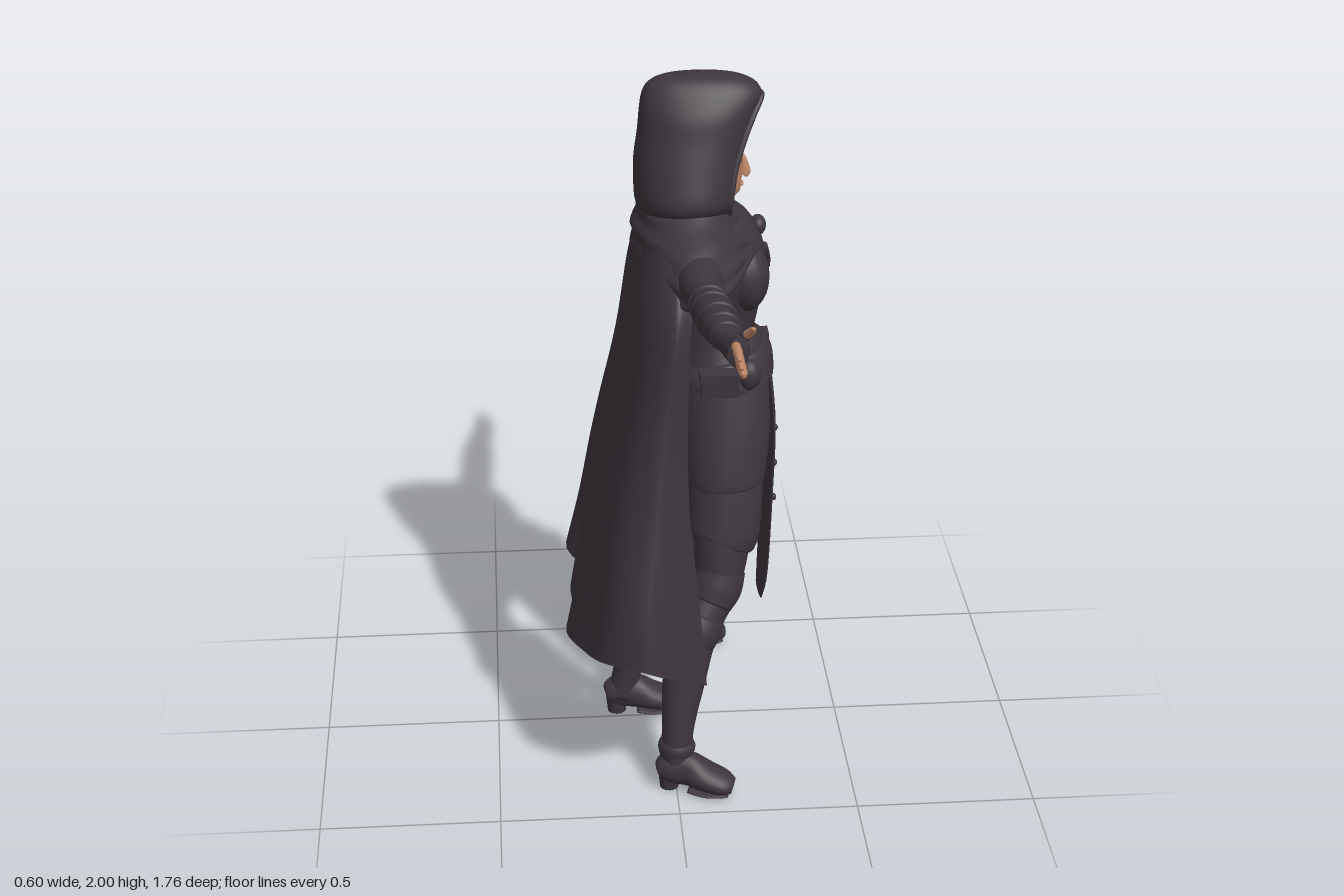
import * as THREE from 'three';

const mat = (name, color) => Object.assign(new THREE.MeshStandardMaterial({ color, side: THREE.DoubleSide }), { name });
const cloth = mat('dark cloth', 0x3d363d);
const skin = mat('skin', 0xbf8868);
const hairMat = mat('hair', 0x332a2c);
const browMat = mat('eye brown', 0x855a45);

// Smoothly resample a short list of number rows
function spline(rows, steps) {
  const out = [], at = i => rows[Math.max(0, Math.min(rows.length - 1, i))];
  for (let i = 0; i < rows.length - 1; i++) for (let k = 0; k < steps; k++) {
    const t = k / steps;
    out.push(rows[i].map((b, n) => {
      const a = at(i - 1)[n], c = at(i + 1)[n], d = at(i + 2)[n];
      return b + 0.5 * t * (c - a + t * (2 * a - 5 * b + 4 * c - d + t * (3 * (b - c) + d - a)));
    }));
  }
  out.push(rows[rows.length - 1]);
  return out;
}

// Skin a grid of points, rows running upward
function grid(rows, closed) {
  const w = rows[0].length, idx = [];
  for (let i = 0; i < rows.length - 1; i++) for (let j = 0; j < (closed ? w : w - 1); j++) {
    const k = (j + 1) % w, a = i * w + j, b = i * w + k, c = a + w, d = b + w;
    idx.push(a, c, b, b, c, d);
  }
  const g = new THREE.BufferGeometry().setFromPoints(rows.flat());
  g.setIndex(idx);
  g.computeVertexNormals();
  return g;
}

// Closed form along a path; each row is [x, y, z, radius along ref, radius across]
function limb(rows, ref = [1, 0, 0], steps = 5, sides = 24) {
  const r = spline(rows, steps), p = r.map(q => new THREE.Vector3(q[0], q[1], q[2]));
  const rings = r.map((q, i) => {
    const d = p[Math.min(i + 1, p.length - 1)].clone().sub(p[Math.max(i - 1, 0)]).normalize();
    const u = new THREE.Vector3(...ref);
    u.addScaledVector(d, -u.dot(d)).normalize();
    const v = u.clone().cross(d);
    return Array.from({ length: sides }, (_, j) => {
      const t = j / sides * Math.PI * 2;
      return p[i].clone().addScaledVector(u, q[3] * Math.cos(t)).addScaledVector(v, q[4] * Math.sin(t));
    });
  });
  const cap = c => Array.from({ length: sides }, () => c.clone());
  return grid([cap(p[0]), ...rings, cap(p[p.length - 1])], true);
}

export function createModel() {
  const root = new THREE.Group();
  const add = (name, geo, material = cloth) => {
    const m = new THREE.Mesh(geo, material);
    m.name = name;
    root.add(m);
  };
  const ball = (name, x, y, z, rx, ry, rz, material) =>
    add(name, new THREE.SphereGeometry(1, 20, 14).scale(rx, ry, rz).translate(x, y, z), material);
  const box = (name, x, y, z, w, h, d) =>
    add(name, new THREE.BoxGeometry(w, h, d).translate(x, y, z));

  // Torso and belt
  add('torso', limb([[.14, 1, 0, .12, .18], [.14, 1.1, 0, .135, .172], [.145, 1.18, 0, .135, .158], [.13, 1.26, 0, .11, .122],
    [.135, 1.33, 0, .113, .116], [.14, 1.42, 0, .128, .14], [.13, 1.5, 0, .13, .155], [.1, 1.57, 0, .11, .165], [.08, 1.63, 0, .07, .09]], undefined, 5, 36));
  for (const s of [1, -1]) ball('bust', .205, 1.44, .056 * s, .068, .1, .082);
  add('belt', limb([[.145, 1.13, 0, .142, .18], [.147, 1.15, 0, .147, .184], [.145, 1.19, 0, .144, .17], [.14, 1.215, 0, .128, .15]], undefined, 4, 36));
  box('buckle', .275, 1.18, -.1, .03, .05, .05);
  add('chestStrap', limb([[.262, 1.5, -.01, .012, .012], [.275, 1.42, -.06, .012, .012], [.24, 1.33, -.09, .012, .012], [.2, 1.24, -.13, .012, .012]]));

  // Tunic skirt with an upper flap each side, front panel and buttons
  for (const s of [1, -1]) {
    add('tunicSkirt', limb([[.14, .715, .195 * s, .093, .076], [.145, .74, .19 * s, .1, .077],
      [.15, .87, .155 * s, .105, .084], [.15, 1, .12 * s, .112, .089], [.15, 1.15, .08 * s, .12, .088]]));
    add('hipFlap', limb([[.15, .855, .158 * s, .097, .086], [.15, .88, .152 * s, .108, .091], [.155, 1, .12 * s, .12, .095], [.15, 1.15, .08 * s, .123, .094]]));
  }
  add('frontPanel', limb([[.268, .42, -.01, .006, .065], [.278, .53, -.015, .008, .112], [.288, .8, -.01, .009, .105],
    [.29, 1, 0, .01, .1], [.275, 1.16, 0, .01, .1]]));
  for (let i = 0; i < 5; i++) {
    ball('button', .292, .58 + i * .1, -.09, .008, .01, .01);
    if (i > 1) ball('button', .294, .55 + i * .11, .08, .008, .01, .01);
  }

  // Pouches at the hips
  for (const s of [1, -1]) {
    box('pouch', .13, 1.175, .178 * s, .1, .06, .04);
    box('pouchFlap', .13, 1.2, .178 * s, .11, .025, .05);
    ball('pouchSide', .21, 1.19, .15 * s, .035, .045, .035);
  }

  // Sheathed sword
  add('scabbard', limb([[.15, .57, -.4, .006, .008], [.155, .62, -.385, .012, .016], [.2, 1.15, -.2, .015, .022]]));
  add('swordGrip', limb([[.2, 1.15, -.2, .013, .013], [.225, 1.29, -.17, .012, .012]]));
  box('swordGuard', .21, 1.2, -.19, .025, .02, .09);
  ball('swordPommel', .225, 1.3, -.168, .019, .019, .019);

  // Boots: shoe, heel and sole
  const boot = (x, y, z, splay) => {
    add('shoe', limb([[-.045, .055, 0, .03, .03], [-.02, .065, .005, .048, .038], [.03, .065, .012, .052, .042],
      [.08, .048, .03, .04, .052], [.13, .034, .047, .031, .048], [.157, .026, .054, .02, .03]]
      .map(q => [q[0] + x, q[1] + y, q[2] * splay + z, q[3], q[4]]), [0, 1, 0]));
    add('heel', new THREE.CylinderGeometry(.034, .027, .07, 14).translate(x - .02, y + .035, z));
    add('sole', limb([[.04, .012, .018, .01, .042], [.09, .009, .035, .008, .05], [.147, .009, .052, .008, .036]]
      .map(q => [q[0] + x, q[1] + y, q[2] * splay + z, q[3], q[4]]), [0, 1, 0]));
  };

  // Legs with boot cuffs and knee wraps
  for (const s of [1, -1]) {
    const dx = s < 0 ? .045 : 0;
    const place = rows => rows.map(q => [q[0] + dx * (1 - q[1]), q[1], q[2] * s, q[3], q[4]]);
    add('leg', limb(place([[0, .06, .36, .045, .044], [.005, .18, .348, .045, .046], [.025, .32, .31, .06, .06],
      [.06, .46, .268, .065, .066], [.12, .57, .222, .065, .066], [.14, .7, .19, .078, .076], [.14, .9, .13, .1, .085], [.14, 1.05, .09, .1, .085]])));
    add('ankleStrap', limb(place([[0, .1, .355, .046, .044], [.002, .13, .352, .053, .051], [.004, .15, .35, .046, .044]])));
    add('bootCuff', limb(place([[.05, .42, .28, .063, .063], [.06, .46, .268, .073, .073], [.08, .5, .253, .066, .067]])));
    add('kneeWrap', limb(place([[.1, .53, .24, .065, .066], [.12, .57, .222, .074, .074], [.135, .62, .209, .07, .07]])));
    boot(dx, 0, .36 * s, s);
  }
  add('rearLeg', limb([[-.135, .08, 0, .042, .042], [-.115, .2, 0, .042, .042], [-.14, .32, 0, .048, .053], [-.16, .45, 0, .056, .06],
    [-.16, .55, 0, .06, .062], [-.15, .62, 0, .055, .06]]));
  add('rearBootCuff', limb([[-.16, .42, 0, .055, .056], [-.162, .46, 0, .063, .066], [-.162, .5, 0, .057, .06]]));
  boot(-.13, .025, 0, 0);

  // Arms, sleeve bands, gloved hands and bare fingertips
  for (const s of [1, -1]) {
    const place = rows => rows.map(q => [q[0], q[1], q[2] * s, q[3], q[4]]);
    add('arm', limb(place([[.08, 1.54, .14, .075, .065], [.065, 1.535, .3, .06, .055], [.075, 1.53, .42, .05, .047],
      [.08, 1.538, .53, .05, .05], [.09, 1.548, .63, .042, .042], [.1, 1.552, .7, .033, .03], [.113, 1.556, .75, .035, .036], [.115, 1.556, .79, .026, .036]])));
    [[.43, .055], [.48, .056], [.56, .056], [.62, .05], [.67, .043]].forEach(([z, r]) =>
      add('sleeveBand', new THREE.TorusGeometry(r - .008, .007, 8, 24).translate(.072 + (z - .4) * .09, 1.53 + (z - .43) * .085, z * s)));
    for (let i = 0; i < 4; i++) {
      const x = .108 + i * .004, y = 1.582 - i * .017, tip = [.868, .88, .878, .855][i];
      add('gloveFinger', limb(place([[x, y, .77, .013, .013], [x, y, .797, .0125, .0125]]), undefined, 3, 10));
      add('fingertip', limb(place([[x, y, .785, .012, .012], [x + .003, y - .001, .835, .0115, .0115], [x + .003, y - .004, tip, .005, .005]]), undefined, 4, 10), skin);
    }
    add('gloveThumb', limb(place([[.12, 1.565, .73, .016, .016], [.14, 1.595, .76, .013, .013]]), undefined, 3, 10));
    add('thumbTip', limb(place([[.138, 1.592, .757, .012, .012], [.15, 1.612, .775, .01, .01], [.152, 1.624, .79, .004, .004]]), undefined, 3, 10), skin);
  }

  // Head, face details and hair
  add('neck', limb([[.13, 1.55, 0, .05, .045], [.115, 1.7, 0, .045, .042]]), skin);
  for (const s of [1, -1]) add('collar', limb([[.165, 1.56, .035 * s, .02, .032], [.145, 1.595, .048 * s, .03, .018], [.12, 1.63, .055 * s, .035, .01]]));
  add('head', limb([[.135, 1.635, 0, .04, .025], [.13, 1.65, 0, .067, .043], [.12, 1.69, 0, .082, .067], [.11, 1.74, 0, .093, .08],
    [.105, 1.79, 0, .097, .083], [.1, 1.835, 0, .084, .07], [.095, 1.865, 0, .04, .03]]), skin);
  add('nose', limb([[.203, 1.712, 0, .01, .012], [.207, 1.722, 0, .016, .011], [.2, 1.765, 0, .008, .007]]), skin);
  ball('lips', .199, 1.687, 0, .006, .005, .016, skin);
  for (const s of [1, -1]) {
    ball('eye', .192, 1.764, .034 * s, .005, .006, .015, browMat);
    add('brow', limb([[.182, 1.78, .055 * s, .005, .004], [.199, 1.782, .014 * s, .004, .004]]), browMat);
    add('hairLock', limb([[.13, 1.65, .092 * s, .012, .006], [.13, 1.72, .097 * s, .015, .007], [.14, 1.79, .086 * s, .016, .009], [.15, 1.84, .052 * s, .02, .012]]), hairMat);
  }
  add('hair', new THREE.SphereGeometry(1, 28, 14, 0, Math.PI * 2, 0, 1.4).rotateZ(.62).scale(.108, .125, .09).translate(.101, 1.757, 0), hairMat);

  // Hood: rows of [y, centre x, radius x, radius z, half angle of the opening]
  const hoodRows = spline([[1.6, .07, .11, .1, .5], [1.64, .05, .132, .15, .62], [1.68, .05, .14, .176, .68], [1.76, .056, .146, .154, .66],
    [1.84, .07, .15, .127, .55], [1.9, .08, .155, .109, .34], [1.945, .09, .158, .084, .04], [1.975, .088, .138, .062, 0], [1.994, .083, .09, .036, 0], [2, .08, .004, .003, 0]], 4)
    .map(([y, cx, rx, rz, a]) => Array.from({ length: 41 }, (_, j) => {
      const t = Math.max(a, 0) + (Math.PI * 2 - 2 * Math.max(a, 0)) * j / 40, n = Math.sin(t);
      return new THREE.Vector3(cx + rx * Math.cos(t), y, rz * Math.sign(n) * Math.abs(n) ** .85);
    }));
  add('hood', grid(hoodRows, false));
  const rim = hoodRows.slice(0, 24);
  const edge = [...rim.map(r => r[0]), ...rim.map(r => r[40]).reverse()];
  add('hoodRim', new THREE.TubeGeometry(new THREE.CatmullRomCurve3(edge), 80, .009, 8));

  // Shoulder mantle, narrowed over the arms and gathered low at the throat, with a clasp
  const mantle = limb([[.06, 1.465, 0, .145, .345], [.06, 1.485, 0, .155, .372], [.06, 1.535, 0, .158, .355], [.06, 1.595, 0, .155, .275],
    [.06, 1.638, 0, .14, .195], [.06, 1.68, 0, .12, .13]], undefined, 5, 48);
  const mp = mantle.attributes.position;
  for (let i = 0; i < mp.count; i++) {
    const x = mp.getX(i), y = mp.getY(i), f = Math.max(0, x - .06) / .16;
    mp.setY(i, y + f * f * (.07 - (y - 1.46) * .88));
    mp.setX(i, .06 + (x - .06) * (1 - .65 * Math.abs(mp.getZ(i))) + f * .02 + .005 * Math.sin(y * 110));
  }
  mantle.computeVertexNormals();
  add('mantle', mantle);
  ball('clasp', .245, 1.565, 0, .022, .028, .03);

  // Long cape: each level gives front edge, outer side, rear quarter and centre back
  const levels = [
    [.08, .37, .42, -.1, .5, .55, -.265, .46, .36, -.285, .4],
    [.06, .62, .4, -.1, .67, .52, -.23, .63, .34, -.25, .6],
    [.035, .88, .37, -.07, .9, .455, -.19, .88, .3, -.2, .87],
    [.03, 1.16, .355, -.04, 1.17, .4, -.135, 1.16, .26, -.14, 1.16],
    [.04, 1.43, .345, -.005, 1.43, .365, -.095, 1.43, .23, -.09, 1.43],
    [.06, 1.58, .25, 0, 1.58, .26, -.05, 1.6, .16, -.06, 1.61]];
  const capeRows = spline(levels, 6).map((q, i, all) => {
    const sidePts = [[q[0], q[1], q[2]], [q[3], q[4], q[5]], [q[6], q[7], q[8]]];
    const depth = 1 - i / (all.length - 1);
    const farPts = sidePts.map(([x, y, z], k) => [x, y, -z - (k ? 0 : .022 * depth)]);
    const pts = [...sidePts, [q[9], q[10], 0], ...farPts.reverse()];
    // one deep fold behind the shoulder plus shallow ripples
    return new THREE.CatmullRomCurve3(pts.map(v => new THREE.Vector3(...v))).getPoints(72).map((v, j) => {
      const t = j / 72;
      v.x += depth * (.01 * Math.sin(t * Math.PI) * Math.cos(t * Math.PI * 12) + .055 * Math.exp(-(((v.z + .17) / .06) ** 2)));
      return v;
    });
  });
  add('cape', grid(capeRows, false));
  return root;
}
